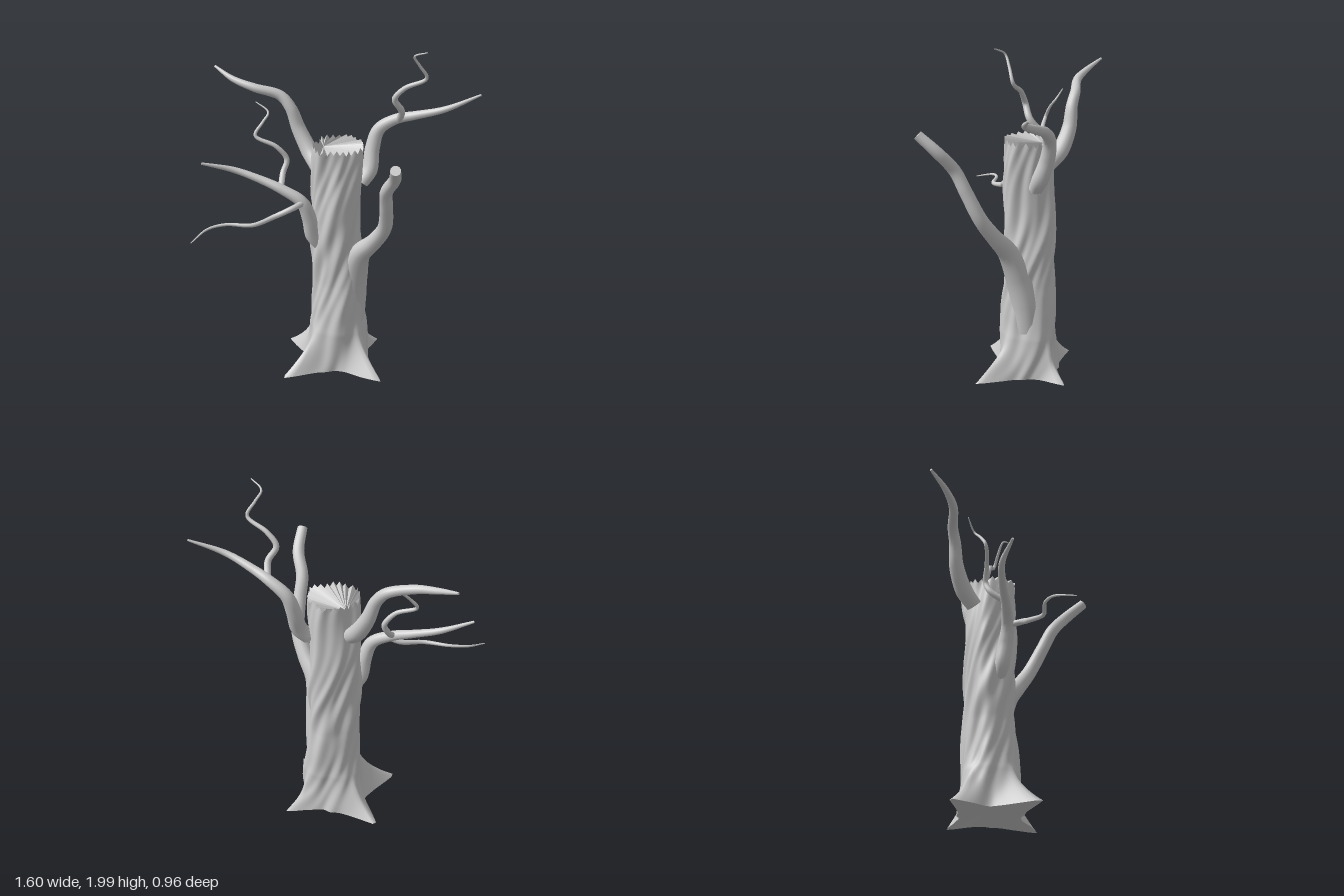
import * as THREE from 'three';

const material = new THREE.MeshStandardMaterial({ color: 0xcccccc, side: THREE.DoubleSide });
const SIDES = 96, ROWS = 90, TOP = 1.4;

// Root tips: direction and reach from the trunk axis
const ROOTS = [[-0.33, 0.17], [0.285, 0.17], [0.25, -0.365], [-0.335, -0.35]].map(([x, z]) => ({
  angle: Math.atan2(z + 0.11, x), reach: Math.hypot(x, z + 0.11),
}));

// Point on the bark: twisted ridges above, four flared roots below
function barkPoint(a, y) {
  const w = a + 1.9 * y;
  let r = 0.143 + 0.018 * Math.max(0, 1 - Math.abs(y - 0.25) / 0.3);
  r += 0.007 * Math.sin(3 * w + 2 * Math.sin(4 * y));
  r += 0.006 * Math.sin(7 * w + 1.5 * Math.sin(7 * y + 1));
  r += 0.003 * Math.sin(13 * w + 2 * Math.sin(9 * y + a));
  r += 0.004 * Math.sin(2 * a + 11 * y);
  const flare = Math.pow(Math.max(0, 1 - y / 0.36), 2.3);
  let spread = 0;
  for (const { angle, reach } of ROOTS) {
    const d = Math.abs(Math.atan2(Math.sin(a - angle), Math.cos(a - angle)));
    spread += (reach - 0.15) * Math.exp(-d / 0.29);
  }
  r += flare * spread;
  return new THREE.Vector3(
    -0.005 + 0.006 * Math.sin(5 * y) + r * Math.cos(a), y,
    -0.115 - 0.012 * Math.sin(2.2 * y) + r * Math.sin(a));
}

const rimPoint = (i, row) => {
  const a = (i / SIDES) * Math.PI * 2, t = row / ROWS;
  const p = barkPoint(a, 0.01 + (TOP - 0.01) * Math.pow(t, 1.25));
  if (row === ROWS) p.y += 0.014 * Math.cos(24 * a) + 0.005 * Math.sin(5 * a);
  return p;
};

function trunkGeometry() {
  const pos = [], index = [];
  for (let j = 0; j <= ROWS; j++)
    for (let i = 0; i < SIDES; i++) pos.push(...rimPoint(i, j).toArray());
  for (let j = 0; j < ROWS; j++)
    for (let i = 0; i < SIDES; i++) {
      const k = (i + 1) % SIDES;
      const a = j * SIDES + i, b = j * SIDES + k, c = a + SIDES, d = b + SIDES;
      index.push(a, c, b, b, c, d);
    }
  const g = new THREE.BufferGeometry();
  g.setAttribute('position', new THREE.Float32BufferAttribute(pos, 3));
  g.setIndex(index);
  g.computeVertexNormals();
  return g;
}

// Flat-shaded fan from an apex to one of the trunk rims
function fanGeometry(row, apex, up) {
  const pos = [];
  for (let i = 0; i < SIDES; i++) {
    const p = rimPoint(i, row).toArray(), q = rimPoint((i + 1) % SIDES, row).toArray();
    pos.push(...apex, ...(up ? q : p), ...(up ? p : q));
  }
  const g = new THREE.BufferGeometry();
  g.setAttribute('position', new THREE.Float32BufferAttribute(pos, 3));
  g.computeVertexNormals();
  return g;
}

// Tapered limb through points [x, y, z, radius], with end caps
function limb(name, points) {
  const group = new THREE.Group();
  group.name = name;
  const curve = new THREE.CatmullRomCurve3(points.map(p => new THREE.Vector3(p[0], p[1], p[2])));
  const seg = points.length * 7, sides = 14, last = points.length - 1;
  const g = new THREE.TubeGeometry(curve, seg, 1, sides);
  const pos = g.attributes.position, v = new THREE.Vector3();
  const radiusAt = u => {
    const s = curve.getUtoTmapping(u) * last, i = Math.min(Math.floor(s), last - 1);
    return THREE.MathUtils.lerp(points[i][3], points[i + 1][3], s - i);
  };
  for (let i = 0; i <= seg; i++) {
    const c = curve.getPointAt(i / seg), r = radiusAt(i / seg);
    for (let j = 0; j <= sides; j++) {
      const n = i * (sides + 1) + j;
      v.fromBufferAttribute(pos, n).sub(c).multiplyScalar(r).add(c);
      pos.setXYZ(n, v.x, v.y, v.z);
    }
  }
  const tube = new THREE.Mesh(g, material);
  tube.name = name + 'Wood';
  group.add(tube);
  for (const u of [0, 1]) {
    const cap = new THREE.Mesh(new THREE.CircleGeometry(radiusAt(u), sides), material);
    cap.name = name + 'End';
    cap.position.copy(curve.getPointAt(u));
    cap.lookAt(cap.position.clone().addScaledVector(curve.getTangentAt(u), u ? 1 : -1));
    group.add(cap);
  }
  return group;
}

// Limb paths: x, y, z, radius
const LIMBS = {
  upperRightBranch: [
    [-0.13, 1.23, -0.22, 0.045], [-0.18, 1.30, -0.28, 0.05], [-0.245, 1.42, -0.325, 0.042], [-0.29, 1.54, -0.335, 0.034],
    [-0.35, 1.61, -0.35, 0.03], [-0.50, 1.655, -0.35, 0.025], [-0.63, 1.69, -0.395, 0.018], [-0.745, 1.74, -0.475, 0.007]],
  upperLeftBranch: [
    [0.13, 1.15, -0.17, 0.04], [0.175, 1.22, -0.20, 0.048], [0.19, 1.34, -0.24, 0.043], [0.225, 1.45, -0.255, 0.037],
    [0.32, 1.52, -0.24, 0.031], [0.43, 1.56, -0.20, 0.025], [0.60, 1.615, -0.16, 0.018], [0.80, 1.69, -0.20, 0.006]],
  upperLeftTwig: [
    [0.34, 1.52, -0.225, 0.02], [0.355, 1.60, -0.16, 0.019], [0.315, 1.68, -0.13, 0.017], [0.37, 1.75, -0.115, 0.014],
    [0.49, 1.82, -0.085, 0.01], [0.45, 1.90, -0.06, 0.008], [0.42, 1.96, -0.035, 0.006], [0.49, 1.998, 0.01, 0.003]],
  middleRightBranch: [
    [-0.10, 0.78, -0.08, 0.035], [-0.145, 0.86, -0.06, 0.045], [-0.165, 0.98, -0.04, 0.043], [-0.205, 1.08, -0.03, 0.036],
    [-0.32, 1.15, -0.045, 0.029], [-0.45, 1.20, -0.07, 0.023], [-0.60, 1.25, -0.08, 0.018], [-0.775, 1.305, -0.03, 0.007]],
  middleRightLowTwig: [
    [-0.19, 1.08, -0.03, 0.018], [-0.25, 1.075, 0.05, 0.017], [-0.35, 1.035, 0.08, 0.015], [-0.47, 1.01, 0.15, 0.012],
    [-0.62, 1.01, 0.15, 0.009], [-0.72, 0.997, 0.19, 0.007], [-0.80, 0.96, 0.30, 0.003]],
  middleRightHighTwig: [
    [-0.325, 1.16, -0.05, 0.018], [-0.32, 1.22, -0.13, 0.017], [-0.30, 1.29, -0.16, 0.016], [-0.36, 1.37, -0.155, 0.013],
    [-0.48, 1.43, -0.165, 0.01], [-0.44, 1.50, -0.195, 0.008], [-0.41, 1.55, -0.23, 0.006], [-0.485, 1.6, -0.265, 0.003]],
  frontBranch: [
    [0.075, 0.29, -0.125, 0.083], [0.085, 0.45, -0.11, 0.083], [0.10, 0.62, -0.07, 0.078], [0.135, 0.77, -0.015, 0.06],
    [0.215, 0.88, 0.05, 0.047], [0.275, 1.00, 0.12, 0.041], [0.285, 1.16, 0.20, 0.038], [0.285, 1.28, 0.26, 0.036],
    [0.33, 1.39, 0.345, 0.034], [0.335, 1.49, 0.455, 0.029]],
};

export function createModel() {
  const tree = new THREE.Group();
  tree.name = 'deadTree';
  const add = (name, geometry) => {
    const mesh = new THREE.Mesh(geometry, material);
    mesh.name = name;
    tree.add(mesh);
  };
  add('trunkAndRoots', trunkGeometry());
  add('splinteredTop', fanGeometry(ROWS, [-0.09, 1.365, -0.185], true));
  add('rootUnderside', fanGeometry(0, [-0.01, 0.06, -0.115], false));
  for (const [name, points] of Object.entries(LIMBS)) tree.add(limb(name, points));
  return tree;
}
